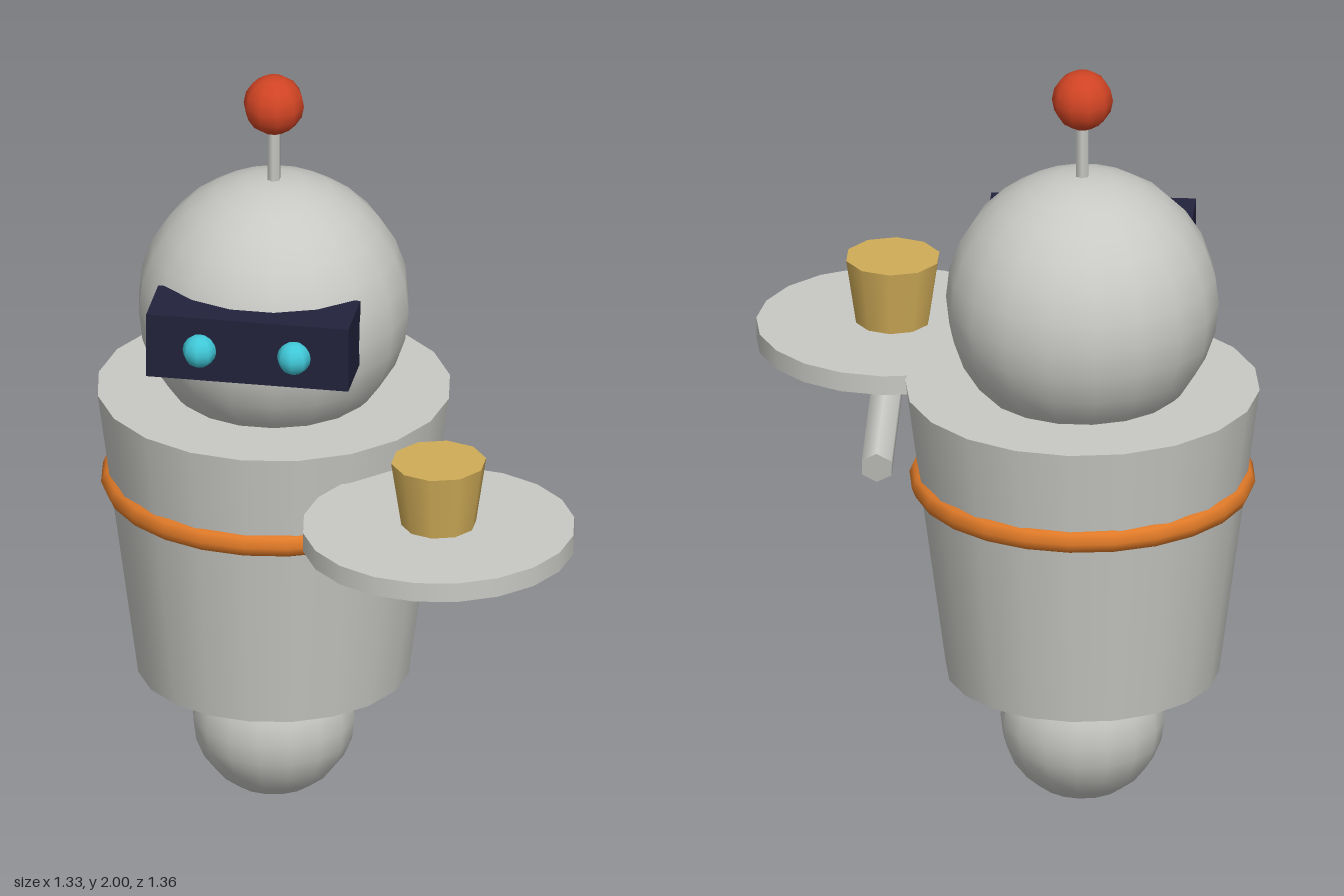
import * as THREE from 'three';

const mat = (name, color) => {
  const m = new THREE.MeshStandardMaterial({ color });
  m.name = name;
  return m;
};

export function createModel() {
  const grey = mat('light grey', 0xc8c8c4);
  const navy = mat('dark navy', 0x22223c);
  const cyan = mat('cyan', 0x40c8d8);
  const orange = mat('orange', 0xe07a28);
  const red = mat('red', 0xd04424);
  const tan = mat('tan', 0xd0ac58);

  const model = new THREE.Group();
  model.name = 'servingRobot';

  const add = (parent, name, geometry, material, x, y, z) => {
    const mesh = new THREE.Mesh(geometry, material);
    mesh.name = name;
    mesh.position.set(x, y, z);
    parent.add(mesh);
    return mesh;
  };

  // Robot, all parts sharing one vertical axis
  const robot = new THREE.Group();
  robot.name = 'robot';
  robot.position.set(-0.212, 0, -0.23);
  model.add(robot);

  add(robot, 'rollingBall', new THREE.SphereGeometry(0.209, 16, 12), grey, 0, 0.209, 0);
  add(robot, 'body', new THREE.CylinderGeometry(0.452, 0.348, 0.784, 20), grey, 0, 0.739, 0);
  const ring = add(robot, 'bodyRing', new THREE.TorusGeometry(0.406, 0.035, 8, 24), orange, 0, 0.878, 0);
  ring.rotation.x = Math.PI / 2;
  add(robot, 'head', new THREE.SphereGeometry(0.348, 18, 14), grey, 0, 1.366, 0);

  // Face
  add(robot, 'visor', new THREE.BoxGeometry(0.522, 0.174, 0.174), navy, 0, 1.402, 0.297);
  for (const side of [-1, 1]) {
    add(robot, side < 0 ? 'rightEye' : 'leftEye',
      new THREE.SphereGeometry(0.0435, 8, 8), cyan, side * 0.122, 1.402, 0.392);
  }

  // Antenna
  add(robot, 'antennaRod', new THREE.CylinderGeometry(0.0174, 0.0174, 0.2, 6), grey, 0, 1.78, 0);
  add(robot, 'antennaTip', new THREE.SphereGeometry(0.078, 10, 8), red, 0, 1.922, 0);

  // Arm carrying the tray and cup
  const arm = add(model, 'arm', new THREE.CylinderGeometry(0.0435, 0.0435, 0.38, 6), grey, 0.314, 0.912, -0.024);
  arm.rotation.x = Math.PI / 2 - 0.2;
  add(model, 'tray', new THREE.CylinderGeometry(0.348, 0.348, 0.052, 20), grey, 0.314, 1.018, 0.33);
  add(model, 'cup', new THREE.CylinderGeometry(0.122, 0.096, 0.174, 10), tan, 0.314, 1.138, 0.33);

  return model;
}
